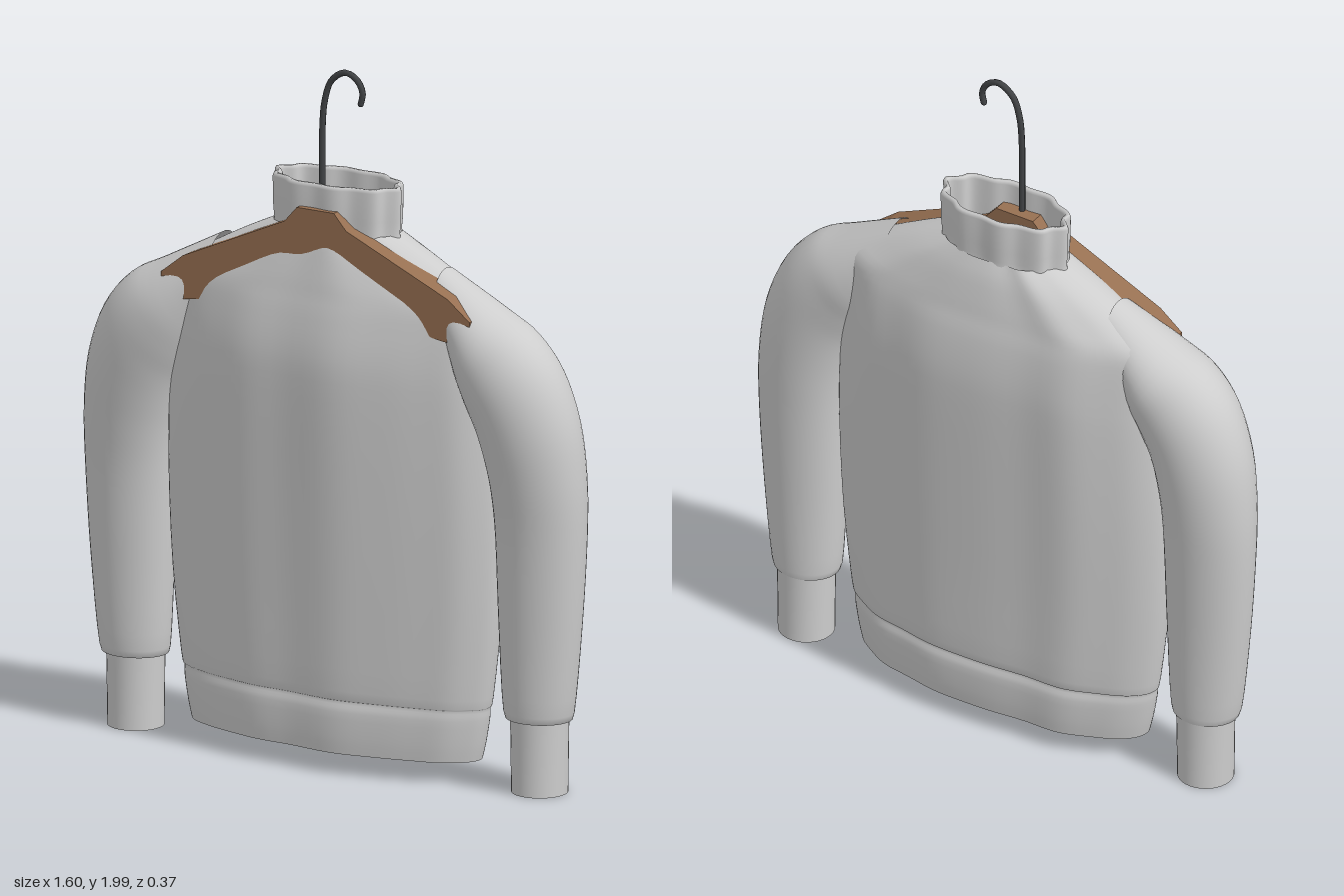
import * as THREE from 'three';

const wool = new THREE.MeshStandardMaterial({ name: 'lightGreyKnit', color: 0xcdcdcd, side: THREE.DoubleSide });
const wood = new THREE.MeshStandardMaterial({ name: 'brownWood', color: 0x977052 });
const metal = new THREE.MeshStandardMaterial({ name: 'darkMetal', color: 0x414345 });

// Catmull-Rom interpolation of every column in a list of section rows
function refine(rows, steps) {
  const out = [];
  const row = i => rows[Math.min(Math.max(i, 0), rows.length - 1)];
  for (let i = 0; i < rows.length - 1; i++) {
    for (let s = 0; s < steps; s++) {
      const t = s / steps;
      out.push(rows[i].map((_, k) => {
        const [a, b, c, d] = [row(i - 1)[k], row(i)[k], row(i + 1)[k], row(i + 2)[k]];
        return b + 0.5 * t * (c - a + t * (2 * a - 5 * b + 4 * c - d + t * (3 * (b - c) + d - a)));
      }));
    }
  }
  out.push(rows[rows.length - 1]);
  return out;
}

// Skin closed rings; point(row, angle) gives [x, y, z]
function loft(rows, segments, point, flip = false) {
  const position = [], index = [];
  rows.forEach((r, i) => {
    for (let j = 0; j < segments; j++) {
      position.push(...point(r, (j / segments) * Math.PI * 2));
      if (i === rows.length - 1) continue;
      const k = (j + 1) % segments;
      const a = i * segments + j, b = i * segments + k;
      const c = a + segments, d = b + segments;
      if (flip) index.push(a, b, c, b, d, c);
      else index.push(a, c, b, b, c, d);
    }
  });
  const geometry = new THREE.BufferGeometry();
  geometry.setAttribute('position', new THREE.Float32BufferAttribute(position, 3));
  geometry.setIndex(index);
  geometry.computeVertexNormals();
  return geometry;
}

function add(group, name, geometry, material) {
  const mesh = new THREE.Mesh(geometry, material);
  mesh.name = name;
  group.add(mesh);
  return mesh;
}

// Soft vertical folds of the knit
const folds = a => 1 + 0.025 * Math.sin(5 * a + 0.6) + 0.025 * Math.sin(9 * a + 2) + 0.012 * Math.sin(14 * a);

// Torso rows: y, half width, front z, back z
const bodyRows = [
  [0.07, 0.462, 0.148, -0.15], [0.12, 0.474, 0.152, -0.156], [0.19, 0.486, 0.152, -0.158],
  [0.22, 0.488, 0.144, -0.149], [0.25, 0.497, 0.151, -0.159], [0.5, 0.525, 0.16, -0.166],
  [0.8, 0.537, 0.171, -0.176], [1.08, 0.53, 0.181, -0.185], [1.2, 0.525, 0.179, -0.183],
  [1.3, 0.528, 0.162, -0.17], [1.36, 0.52, 0.147, -0.155], [1.41, 0.43, 0.135, -0.145],
  [1.48, 0.3, 0.115, -0.128], [1.53, 0.195, 0.098, -0.108],
];

// Sleeve rows: outer x, y, inner x, y, front z, back z
const sleeveRows = [
  [0.735, 0.235, 0.575, 0.235, 0.076, -0.08],
  [0.757, 0.24, 0.553, 0.24, 0.09, -0.086],
  [0.785, 0.5, 0.538, 0.5, 0.1, -0.092],
  [0.8, 0.75, 0.53, 0.73, 0.11, -0.1],
  [0.799, 0.92, 0.522, 0.85, 0.125, -0.107],
  [0.777, 1.08, 0.508, 0.94, 0.142, -0.112],
  [0.722, 1.22, 0.488, 1.02, 0.155, -0.114],
  [0.64, 1.315, 0.458, 1.09, 0.157, -0.113],
  [0.54, 1.368, 0.425, 1.17, 0.142, -0.108],
  [0.36, 1.462, 0.38, 1.3, 0.085, -0.065],
];

function sleevePoint(side) {
  return ([ox, oy, ix, iy, zf, zb], a) => {
    const u = (1 + Math.cos(a)) / 2;
    return [side * (ix + (ox - ix) * u), iy + (oy - iy) * u, (zf + zb) / 2 + ((zf - zb) / 2) * Math.sin(a)];
  };
}

export function createModel() {
  const model = new THREE.Group();
  model.name = 'sweaterOnHanger';

  // Hollow torso, open at hem and neck
  const bodyPoint = ([y, hx, zf, zb], a) => {
    const s = Math.sin(a), c = Math.cos(a);
    return [hx * Math.sign(c) * Math.abs(c) ** 0.95, y, (s > 0 ? zf : -zb) * s * folds(a)];
  };
  add(model, 'torso', loft(refine(bodyRows, 3), 96, bodyPoint), wool);

  // Ribbed collar: outer wall, rim and inner wall (y, half width, half depth)
  const collarRows = [
    [1.515, 0.2, 0.101], [1.535, 0.196, 0.099], [1.57, 0.199, 0.102], [1.655, 0.201, 0.103],
    [1.665, 0.197, 0.099], [1.665, 0.188, 0.09], [1.655, 0.184, 0.086], [1.52, 0.182, 0.084],
  ];
  const collarPoint = ([y, rx, rz], a) => {
    const rib = 1 + 0.045 * Math.sin(10 * a + 0.5) + 0.02 * Math.sin(4 * a);
    return [rx * rib * Math.cos(a), y, -0.004 + rz * rib * Math.sin(a)];
  };
  add(model, 'collar', loft(collarRows, 100, collarPoint), wool);

  // Sleeves and open cuffs, mirrored
  const cuffRows = [[0.01, 0.079], [0.12, 0.08], [0.245, 0.082]];
  for (const [side, label] of [[1, 'left'], [-1, 'right']]) {
    add(model, label + 'Sleeve', loft(refine(sleeveRows, 4), 40, sleevePoint(side), side < 0), wool);
    const cuffPoint = ([y, r], a) => [side * 0.655 + r * Math.cos(a), y, -0.002 + r * Math.sin(a)];
    add(model, label + 'Cuff', loft(cuffRows, 32, cuffPoint), wool);
  }

  // Wooden hanger bar
  const half = [[0.06, 1.597], [0.1, 1.552], [0.43, 1.405], [0.5, 1.35], [0.5, 1.272], [0.38, 1.288], [0.1, 1.4]];
  const outline = [...half, ...half.map(([x, y]) => [-x, y]).reverse()];
  const shape = new THREE.Shape(outline.map(([x, y]) => new THREE.Vector2(x, y)));
  const bar = new THREE.ExtrudeGeometry(shape, { depth: 0.075, bevelEnabled: false });
  add(model, 'hangerBar', bar.translate(0, 0, 0.04), wood);

  // Wire hook
  const hookPoints = [
    [-0.004, 1.56], [-0.004, 1.7], [-0.003, 1.83], [0.004, 1.9], [0.025, 1.96],
    [0.07, 1.99], [0.108, 1.975], [0.127, 1.94], [0.121, 1.908],
  ].map(([x, y]) => new THREE.Vector3(x, y, 0.072));
  const curve = new THREE.CatmullRomCurve3(hookPoints);
  const hook = new THREE.Group();
  hook.name = 'hook';
  add(hook, 'hookWire', new THREE.TubeGeometry(curve, 40, 0.009, 8), metal);
  add(hook, 'hookTip', new THREE.SphereGeometry(0.009, 8, 6), metal).position.copy(hookPoints[8]);
  model.add(hook);

  return model;
}
